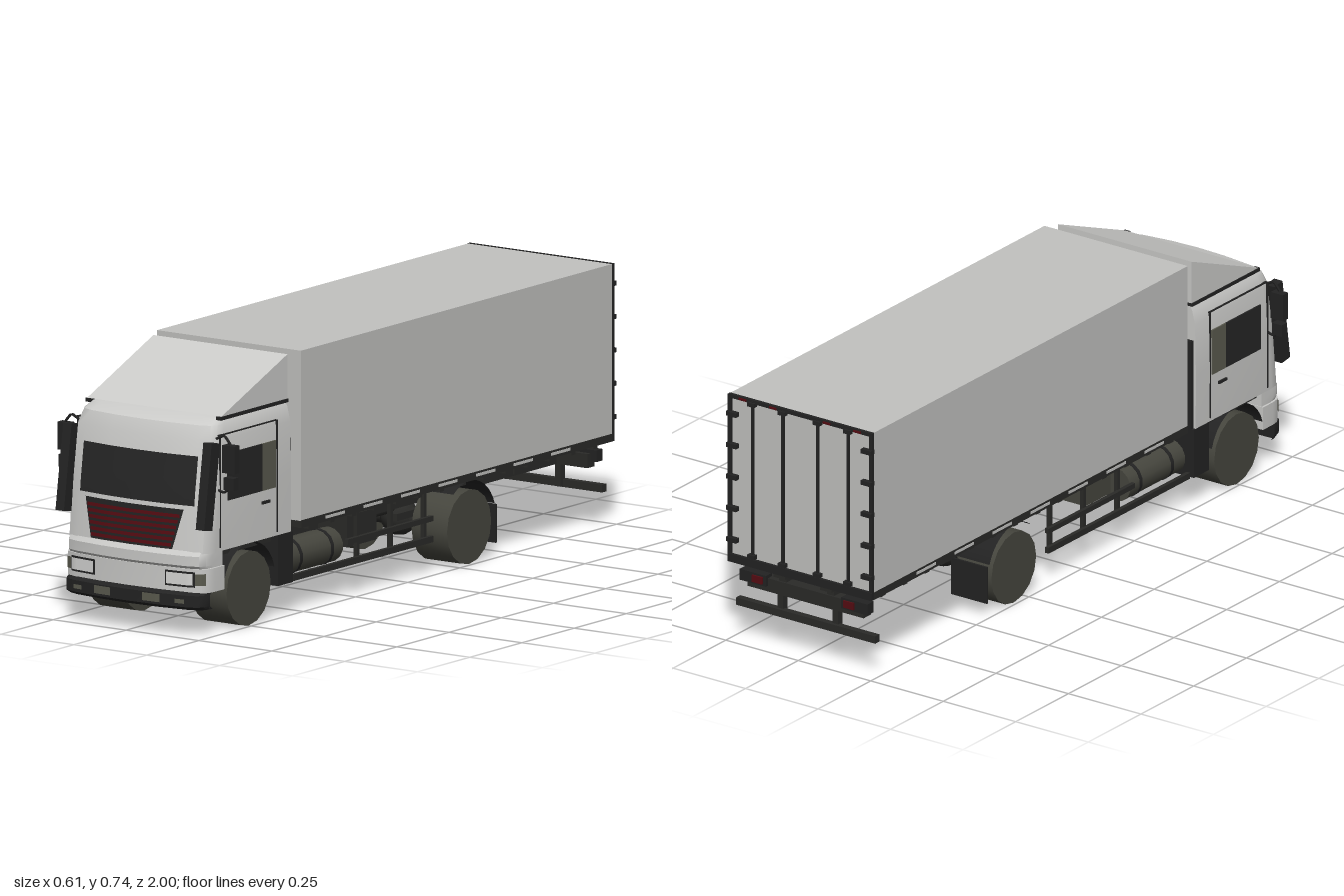
import * as THREE from 'three';
import { toCreasedNormals } from 'three/addons/utils/BufferGeometryUtils.js';

const mat = (name, color, side = THREE.FrontSide) => {
  const m = new THREE.MeshStandardMaterial({ color, side });
  m.name = name;
  return m;
};
const M = {
  paint: mat('cab paint', 0xcbcbc9),
  body: mat('cargo body', 0xc2c2c0),
  black: mat('black plastic', 0x232323, THREE.DoubleSide),
  chassis: mat('chassis', 0x2a2a28),
  glass: mat('glass', 0x262626, THREE.DoubleSide),
  rubber: mat('wheel', 0x46463e),
  olive: mat('dull lamp', 0x5a5a4e, THREE.DoubleSide),
  lamp: mat('headlamp', 0xd6d6d4, THREE.DoubleSide),
  red: mat('dark red', 0x560c12, THREE.DoubleSide),
};

// Plan outline of the bowed front: fraction of half width, setback
const BOW = [[-1, 0.07], [-0.985, 0.045], [-0.94, 0.028], [-0.8, 0.016], [-0.4, 0.004], [0, 0],
  [0.4, 0.004], [0.8, 0.016], [0.94, 0.028], [0.985, 0.045], [1, 0.07]];
function setback(u) {
  for (let i = 1; i < BOW.length; i++) {
    const [a, p] = BOW[i - 1], [b, q] = BOW[i];
    if (u <= b) return p + (q - p) * (u - a) / (b - a);
  }
  return 0.07;
}

// Solid stacked from bowed plan sections: levels are [y, half width, front z]
function bowedBody(levels, back) {
  const pos = [], idx = [], n = BOW.length + 2;
  for (const [y, w, zf] of levels) {
    pos.push(-w, y, back);
    for (const [u, s] of BOW) pos.push(u * w, y, zf - s);
    pos.push(w, y, back);
  }
  const top = (levels.length - 1) * n;
  for (let j = 0; j < top; j += n)
    for (let i = 0; i < n; i++) {
      const k = (i + 1) % n;
      idx.push(j + i, j + k, j + n + k, j + i, j + n + k, j + n + i);
    }
  for (let i = 1; i < n - 1; i++) idx.push(top, top + i, top + i + 1, 0, i + 1, i);
  const g = new THREE.BufferGeometry();
  g.setAttribute('position', new THREE.Float32BufferAttribute(pos, 3));
  g.setIndex(idx);
  return toCreasedNormals(g, 0.6);
}

const CAB = [[0.235, 0.243, 0.98], [0.4, 0.244, 0.963], [0.55, 0.241, 0.942], [0.59, 0.231, 0.925], [0.607, 0.222, 0.895]];
const cabZ = y => y < 0.4 ? 0.98 - (y - 0.235) * 0.103 : 0.963 - (y - 0.4) * 0.14;

export function createModel() {
  const root = new THREE.Group();
  root.name = 'boxTruck';
  const add = (name, geo, m, x = 0, y = 0, z = 0) => {
    const mesh = new THREE.Mesh(geo, m);
    mesh.name = name;
    mesh.position.set(x, y, z);
    root.add(mesh);
    return mesh;
  };
  // Box given by its limits
  const box = (name, m, x0, x1, y0, y1, z0, z1) =>
    add(name, new THREE.BoxGeometry(x1 - x0, y1 - y0, z1 - z0), m, (x0 + x1) / 2, (y0 + y1) / 2, (z0 + z1) / 2);
  const pair = (name, m, x0, x1, ...r) => {
    box(name, m, x0, x1, ...r);
    box(name, m, -x1, -x0, ...r);
  };
  // Thin plate hugging a bowed front; bottom may be narrower
  const frontPlate = (name, m, x0, x1, y0, y1, zAt, off, taper = 1) => {
    const g = new THREE.PlaneGeometry(x1 - x0, y1 - y0, 12, 4), p = g.attributes.position;
    for (let i = 0; i < p.count; i++) {
      const y = p.getY(i) + (y0 + y1) / 2, t = (y - y0) / (y1 - y0);
      const x = (p.getX(i) + (x0 + x1) / 2) * (taper + (1 - taper) * t);
      p.setXYZ(i, x, y, zAt(y) - setback(x / 0.243) + off);
    }
    g.computeVertexNormals();
    add(name, g, m);
  };

  // Cab shell, front band and bumpers
  add('cab', bowedBody(CAB, 0.55), M.paint);
  add('frontBand', bowedBody([[0.19, 0.238, 0.98], [0.2, 0.238, 0.99], [0.228, 0.238, 0.99], [0.243, 0.238, 0.978]], 0.87), M.paint);
  add('bumperPanel', bowedBody([[0.124, 0.244, 0.985], [0.192, 0.244, 0.985]], 0.868), M.paint);
  add('lowerBumper', bowedBody([[0.075, 0.236, 0.985], [0.085, 0.238, 1], [0.118, 0.238, 1], [0.126, 0.238, 0.985]], 0.93), M.black);

  // Roof deflector wedge
  const wedge = new THREE.Shape([[0.865, 0.612], [0.548, 0.738], [0.548, 0.612]].map(p => new THREE.Vector2(...p)));
  const wg = new THREE.ExtrudeGeometry(wedge, { depth: 0.46, bevelEnabled: false });
  add('roofDeflector', wg.rotateY(-Math.PI / 2).translate(0.23, 0, 0), M.paint);
  pair('deflectorSeal', M.black, 0.215, 0.233, 0.602, 0.612, 0.548, 0.87);

  // Windscreen and grille
  frontPlate('windscreen', M.glass, -0.19, 0.2, 0.368, 0.507, cabZ, 0.004);
  frontPlate('grilleFrame', M.black, -0.168, 0.168, 0.243, 0.356, cabZ, 0.004, 0.83);
  for (let i = 0; i < 6; i++) {
    const y = 0.25 + i * 0.0165, w = 0.137 + i * 0.0042;
    frontPlate('grilleSlot', M.red, -w, w, y, y + 0.0095, cabZ, 0.007);
  }

  // Lamps on both sides
  const panelZ = () => 0.985, bumperZ = () => 1;
  for (const s of [-1, 1]) {
    const lamp = (name, m, a, b, ...r) => frontPlate(name, m, Math.min(s * a, s * b), Math.max(s * a, s * b), ...r);
    lamp('headlampFrame', M.black, 0.12, 0.212, 0.14, 0.184, panelZ, 0.003);
    lamp('headlamp', M.lamp, 0.125, 0.207, 0.146, 0.179, panelZ, 0.006);
    lamp('turnLamp', M.olive, 0.213, 0.237, 0.146, 0.179, panelZ, 0.005);
    lamp('fogLamp', M.olive, 0.055, 0.112, 0.092, 0.115, bumperZ, 0.002);
    lamp('smallLamp', M.olive, 0.16, 0.19, 0.095, 0.107, bumperZ, 0.002);

    // Corner wind deflector and mirrors
    const corner = box('cornerDeflector', M.black, 0.226, 0.255, 0.305, 0.55, 0.925, 0.965);
    corner.position.x *= s;
    corner.position.z = 0.944;
    corner.rotation.x = -0.15;
    const arm = (pts) => add('mirrorArm', new THREE.TubeGeometry(new THREE.CatmullRomCurve3(
      pts.map(([x, y]) => new THREE.Vector3(s * x, y, 0.895)), false, 'catmullrom', 0.1), 10, 0.004, 5), M.black);
    arm([[0.235, 0.555], [0.262, 0.568], [0.282, 0.545], [0.284, 0.52]]);
    arm([[0.235, 0.412], [0.262, 0.405], [0.285, 0.425]]);
  }
  pair('mainMirror', M.black, 0.262, 0.304, 0.463, 0.542, 0.88, 0.905);
  pair('wideMirror', M.black, 0.266, 0.3, 0.415, 0.45, 0.88, 0.905);

  // Doors: window, handle, seams
  pair('doorWindow', M.glass, 0.239, 0.2465, 0.374, 0.508, 0.69, 0.855);
  pair('rearDoorWindow', M.olive, 0.239, 0.2465, 0.374, 0.508, 0.625, 0.69);
  pair('doorHandle', M.black, 0.24, 0.249, 0.336, 0.344, 0.655, 0.692);
  pair('doorSeam', M.black, 0.24, 0.2455, 0.245, 0.565, 0.616, 0.619);
  pair('doorSeam', M.black, 0.24, 0.2455, 0.245, 0.565, 0.888, 0.891);
  pair('doorSeam', M.black, 0.235, 0.2425, 0.562, 0.565, 0.616, 0.891);
  pair('rearCabTrim', M.black, 0.215, 0.235, 0.23, 0.5, 0.538, 0.55);

  // Cargo body with frame and floor rails
  box('cargoBody', M.body, -0.247, 0.247, 0.258, 0.743, -0.985, 0.507);
  pair('floorRail', M.chassis, 0.232, 0.248, 0.238, 0.26, -0.985, 0.507);
  for (let i = 0; i < 7; i++) pair('railClip', M.body, 0.24, 0.2495, 0.246, 0.254, -0.78 + i * 0.18, -0.69 + i * 0.18);
  pair('rearFrameSide', M.black, 0.238, 0.249, 0.24, 0.743, -0.992, -0.982);
  box('rearFrameTop', M.black, -0.248, 0.248, 0.733, 0.744, -0.992, -0.982);
  box('rearFrameBottom', M.black, -0.248, 0.248, 0.238, 0.262, -0.994, -0.982);

  // Rear door bars, hinges and marker lamps
  for (const x of [0.06, 0.165]) {
    pair('lockBar', M.black, x - 0.003, x + 0.003, 0.25, 0.74, -0.994, -0.984);
    pair('barKeeper', M.black, x - 0.012, x + 0.012, 0.725, 0.737, -0.999, -0.984);
    pair('barKeeper', M.black, x - 0.012, x + 0.012, 0.265, 0.277, -0.999, -0.984);
    pair('markerLamp', M.red, x + 0.02, x + 0.045, 0.735, 0.741, -0.995, -0.984);
  }
  for (let i = 0; i < 5; i++) {
    const y = 0.3 + i * 0.095;
    pair('hinge', M.black, 0.215, 0.25, y, y + 0.013, -1, -0.982);
  }

  // Chassis frame and cross members
  pair('frameRail', M.chassis, 0.07, 0.095, 0.165, 0.228, -0.96, 0.9);
  pair('subframe', M.chassis, 0.06, 0.1, 0.222, 0.259, -0.98, 0.507);
  for (let i = 0; i < 14; i++) {
    const z = -0.93 + i * 0.105;
    box('crossMember', M.chassis, -0.235, 0.235, 0.226, 0.244, z, z + 0.02);
  }
  for (const z of [-0.7, -0.12, 0.15, 0.45]) box('frameTie', M.chassis, -0.08, 0.08, 0.175, 0.215, z, z + 0.03);
  box('engine', M.chassis, -0.1, 0.1, 0.11, 0.24, 0.5, 0.9);
  box('cabUnderside', M.chassis, -0.22, 0.22, 0.215, 0.236, 0.56, 0.88);
  const shaft = add('driveShaft', new THREE.CylinderGeometry(0.016, 0.016, 0.82, 10), M.chassis, 0, 0.14, 0.1);
  shaft.rotation.x = Math.PI / 2;
  add('differential', new THREE.SphereGeometry(0.055, 12, 8), M.chassis, 0, 0.11, -0.308);

  // Wheels, axles and mudguards
  const across = (name, geo, m, x, y, z) => { add(name, geo, m, x, y, z).rotation.z = Math.PI / 2; };
  for (const z of [0.748, -0.308]) {
    across('axle', new THREE.CylinderGeometry(0.022, 0.022, 0.3, 10), M.chassis, 0, 0.105, z);
    pair('leafSpring', M.chassis, 0.08, 0.1, 0.13, 0.15, z - 0.15, z + 0.15);
    for (const s of [-1, 1]) {
      across('wheel', toCreasedNormals(new THREE.CylinderGeometry(0.106, 0.106, 0.122, 16), 0.6), M.rubber, s * 0.179, 0.106, z);
      const [start, len] = z > 0 ? [0.25, 2.6] : [0.9, 1.9];
      across('mudguard', new THREE.CylinderGeometry(0.126, 0.126, 0.125, 12, 1, true, start, len), M.black, s * 0.18, 0.112, z);
    }
  }
  pair('mudFlap', M.black, 0.118, 0.242, 0.04, 0.15, -0.438, -0.432);
  pair('cabStep', M.black, 0.17, 0.244, 0.09, 0.235, 0.54, 0.612);

  // Fuel tank, battery box and air tanks between the axles
  for (const s of [-1, 1]) {
    const tank = add('sideTank', new THREE.CylinderGeometry(0.05, 0.05, 0.26, 14), M.rubber, s * 0.172, 0.145, 0.4);
    tank.rotation.x = Math.PI / 2;
    for (const z of [0.32, 0.47]) add('tankStrap', new THREE.CylinderGeometry(0.052, 0.052, 0.012, 14), M.black, s * 0.172, 0.145, z).rotation.x = Math.PI / 2;
  }
  box('batteryBox', M.chassis, 0.1, 0.2, 0.13, 0.22, 0.08, 0.22);
  box('airTank', M.rubber, -0.19, -0.1, 0.14, 0.2, 0.1, 0.22);

  // Side guards
  pair('guardLower', M.chassis, 0.226, 0.238, 0.09, 0.108, -0.14, 0.53);
  pair('guardUpper', M.chassis, 0.226, 0.238, 0.15, 0.165, -0.14, 0.27);
  for (const z of [0.2, 0.04, -0.12]) pair('guardPost', M.chassis, 0.216, 0.228, 0.09, 0.24, z, z + 0.012);

  // Rear underrun bar and tail lamps
  box('underrunBar', M.chassis, -0.24, 0.24, 0.098, 0.12, -0.965, -0.945);
  pair('underrunPost', M.chassis, 0.085, 0.105, 0.1, 0.2, -0.955, -0.935);
  box('rearCrossBeam', M.chassis, -0.2, 0.2, 0.165, 0.205, -0.965, -0.93);
  pair('tailLampBox', M.black, 0.13, 0.22, 0.182, 0.215, -0.975, -0.945);
  pair('tailLamp', M.red, 0.14, 0.175, 0.188, 0.209, -0.98, -0.974);
  box('tailGear', M.chassis, -0.1, 0.1, 0.17, 0.2, -0.9, -0.72);
  return root;
}
